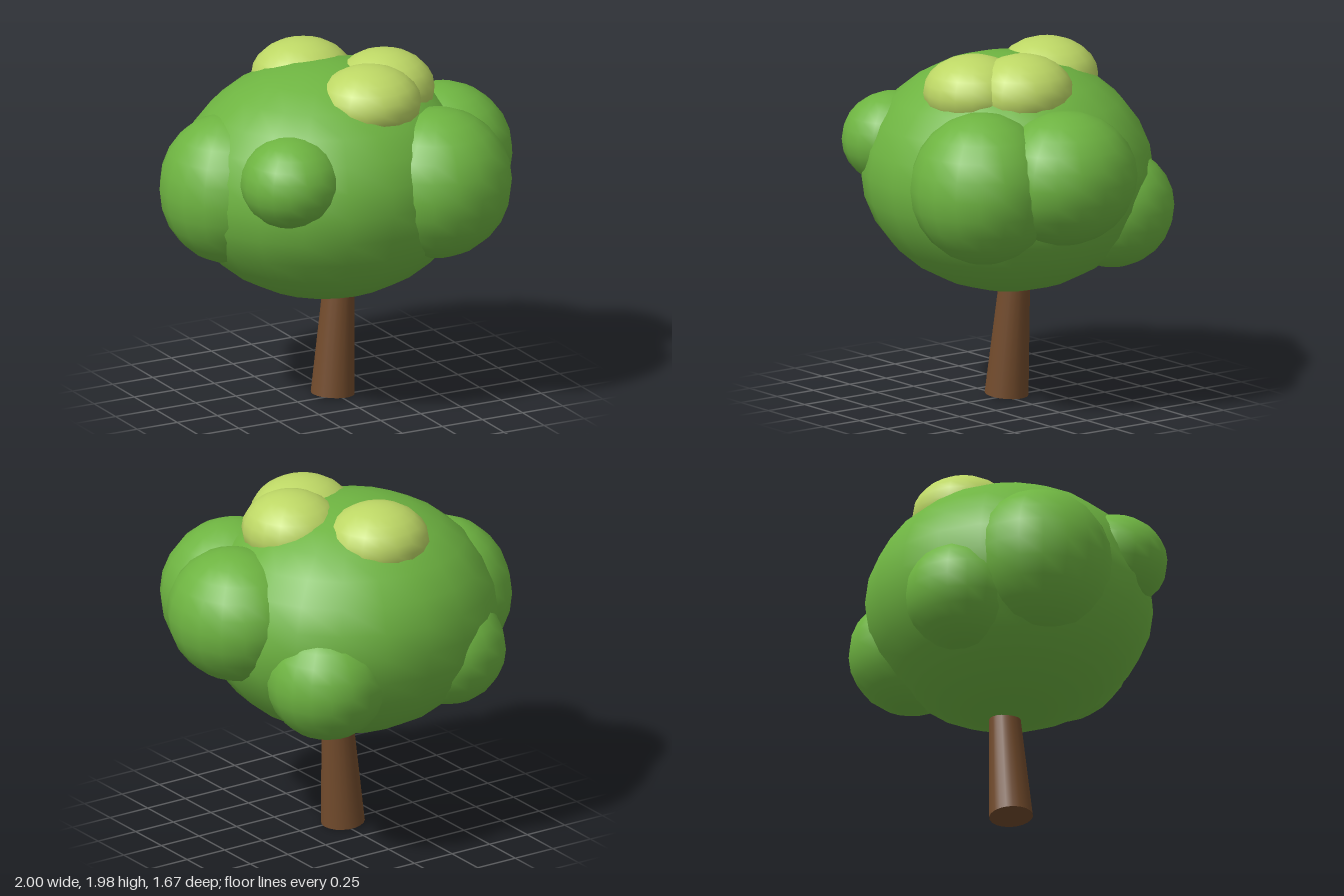
import * as THREE from 'three';

export function createModel() {
  const tree = new THREE.Group();
  tree.name = 'tree';

  const mat = (name, hex) => {
    const m = new THREE.MeshStandardMaterial({ color: hex });
    m.name = name;
    return m;
  };
  const leafGreen = mat('leafGreen', 0x6eb441);
  const limeGreen = mat('limeGreen', 0xbdd765);
  const barkBrown = mat('barkBrown', 0x724b2c);

  // One ellipsoid clump of foliage: centre and radii per axis
  const clump = (name, material, [x, y, z], [rx, ry, rz], w = 18, h = 12) => {
    const geo = new THREE.SphereGeometry(1, w, h);
    geo.scale(rx, ry, rz); // scaling the geometry keeps the normals smooth
    const mesh = new THREE.Mesh(geo, material);
    mesh.position.set(x, y, z);
    mesh.name = name;
    tree.add(mesh);
  };

  // Main canopy
  clump('canopy', leafGreen, [-0.045, 1.262, -0.05], [0.83, 0.66, 0.79], 20, 14);

  // Green clumps around the canopy
  clump('frontLeftClump', leafGreen, [0.387, 1.305, 0.44], [0.415, 0.42, 0.4]);
  clump('leftClump', leafGreen, [0.63, 1.355, 0.06], [0.37, 0.37, 0.415]);
  clump('rightClump', leafGreen, [-0.62, 1.27, -0.11], [0.38, 0.42, 0.4]);
  clump('frontRightClump', leafGreen, [-0.495, 1.425, 0.39], [0.285, 0.26, 0.29]);
  clump('backLeftClump', leafGreen, [0.38, 1.08, -0.455], [0.335, 0.335, 0.345]);
  clump('backRightClump', leafGreen, [-0.405, 1.1, -0.475], [0.325, 0.315, 0.325]);

  // Light clumps on the crown
  clump('crownFrontClump', limeGreen, [0.06, 1.765, 0.255], [0.29, 0.205, 0.28]);
  clump('crownLeftClump', limeGreen, [0.255, 1.77, 0.07], [0.275, 0.213, 0.285]);
  clump('crownBackClump', limeGreen, [-0.045, 1.765, -0.325], [0.29, 0.212, 0.28]);

  // Tapered trunk, leaning slightly, its top hidden inside the canopy
  const base = new THREE.Vector3(-0.018, 0.013, -0.026);
  const tip = new THREE.Vector3(0.043, 0.8, -0.048);
  const axis = tip.clone().sub(base);
  const trunk = new THREE.Mesh(
    new THREE.CylinderGeometry(0.077, 0.121, axis.length(), 20),
    barkBrown
  );
  trunk.position.copy(base).add(tip).multiplyScalar(0.5);
  trunk.quaternion.setFromUnitVectors(new THREE.Vector3(0, 1, 0), axis.normalize());
  trunk.name = 'trunk';
  tree.add(trunk);

  return tree;
}
